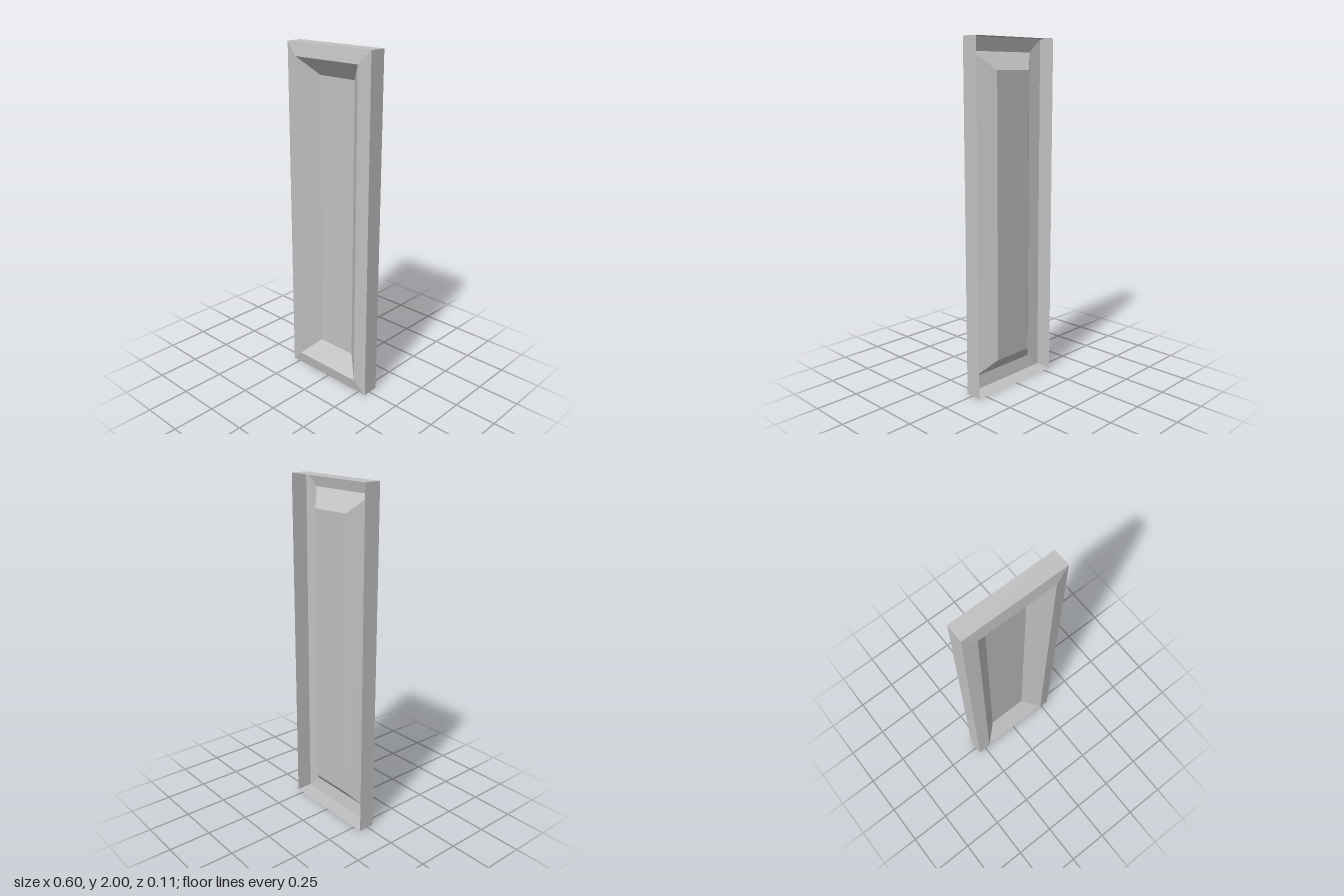
import * as THREE from 'three';

const HALF_WIDTH = 0.3, HEIGHT = 2;

// Four corners of a rectangle inset from the outline, at depth z.
const ring = ({ inset, z }) => {
  const x = HALF_WIDTH - inset, y0 = inset, y1 = HEIGHT - inset;
  return [[-x, y0, z], [x, y0, z], [x, y1, z], [-x, y1, z]];
};

// Flat-shaded geometry from a list of quads.
function quads(list) {
  const positions = list.flatMap(([a, b, c, d]) => [a, b, c, a, c, d]).flat();
  const geometry = new THREE.BufferGeometry();
  geometry.setAttribute('position', new THREE.Float32BufferAttribute(positions, 3));
  geometry.computeVertexNormals();
  return geometry;
}

// Four mitred faces joining two rings.
function band(from, to) {
  const a = ring(from), b = ring(to);
  return quads(a.map((corner, i) => {
    const j = (i + 1) % 4;
    return [corner, a[j], b[j], b[i]];
  }));
}

export function createModel() {
  const group = new THREE.Group();
  group.name = 'recessedPanel';
  const grey = new THREE.MeshStandardMaterial({ color: 0xc0c0c0, flatShading: true, side: THREE.DoubleSide });
  grey.name = 'grey';

  const back = { inset: 0, z: -0.057 };
  const shoulder = { inset: 0, z: 0.042 };
  const rim = { inset: 0.075, z: 0.057 };
  const floor = { inset: 0.175, z: -0.033 };

  const add = (name, geometry) => {
    const mesh = new THREE.Mesh(geometry, grey);
    mesh.name = name;
    group.add(mesh);
  };

  // Thin shell, open at the back
  add('outerWalls', band(back, shoulder));
  add('bevelledFrame', band(shoulder, rim));
  add('recessSlopes', band(rim, floor));
  add('recessFloor', quads([ring(floor)]));

  return group;
}
